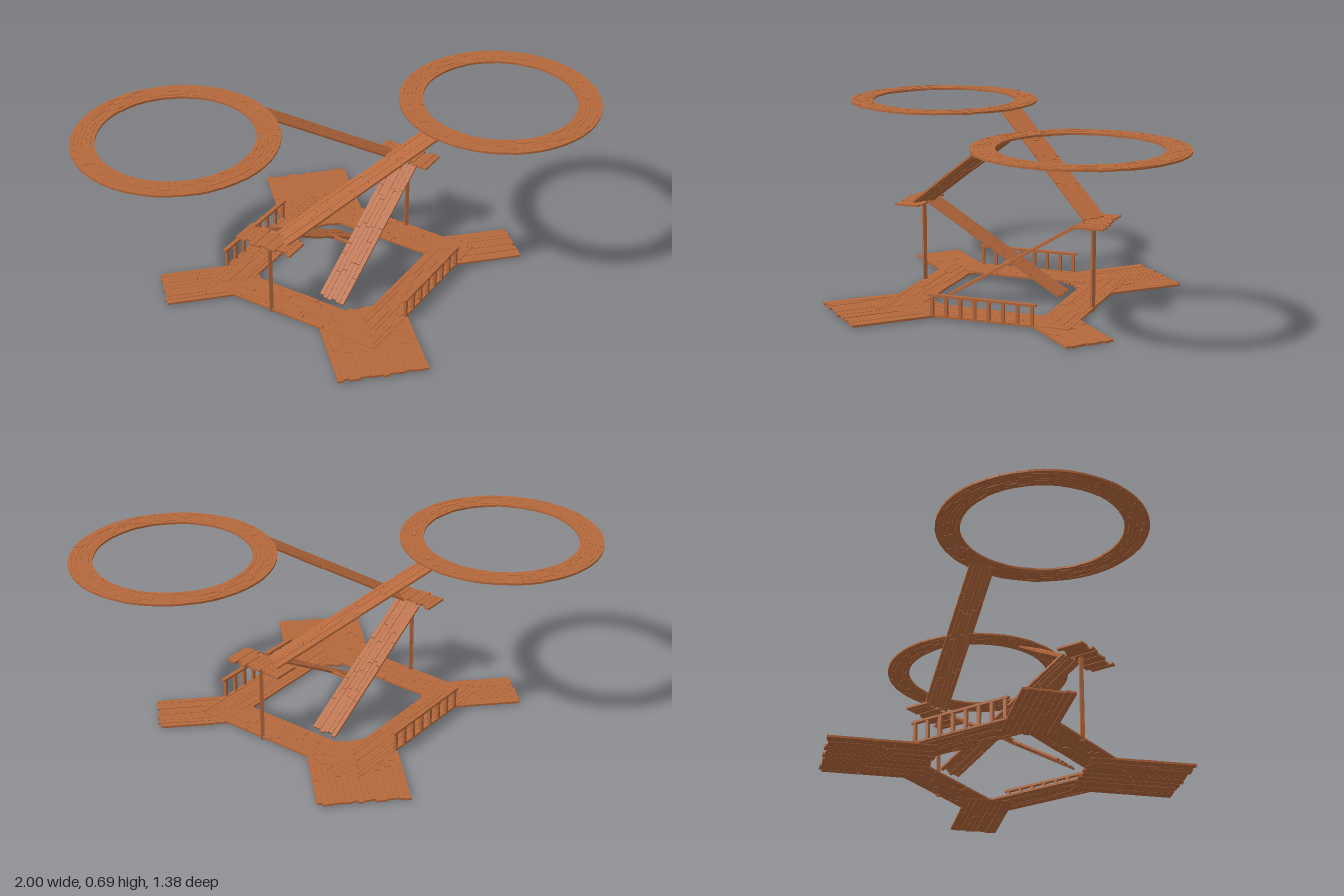
import * as THREE from 'three';
import { mergeGeometries } from 'three/addons/utils/BufferGeometryUtils.js';

const THICK = 0.008;
const wood = new THREE.MeshStandardMaterial({ color: 0xb5683c, flatShading: true });

// Small seeded generator for the uneven planks
let seed = 7;
function rand(a, b) {
  seed = (seed * 16807) % 2147483647;
  return a + (b - a) * (seed / 2147483647);
}

function box(w, h, d, x, y, z, turn = 0) {
  return new THREE.BoxGeometry(w, h, d).rotateY(turn).translate(x, y, z);
}

function mesh(name, boxes) {
  const m = new THREE.Mesh(mergeGeometries(boxes), wood);
  m.name = name;
  return m;
}

// One lane of boards laid end to end along z
function lane(x, z0, z1, width, boardLength) {
  const n = Math.max(1, Math.round((z1 - z0) / boardLength));
  const step = (z1 - z0) / n;
  const cuts = [z0];
  for (let i = 1; i < n; i++) cuts.push(z0 + step * (i + rand(-0.3, 0.3)));
  cuts.push(z1);
  return cuts.slice(1).map((end, i) => box(width * 0.95, THICK, end - cuts[i] - 0.002,
    x, rand(-0.001, 0.001), (end + cuts[i]) / 2));
}

// Plank walkway between two points, level across its width
function deck(name, from, to, width, lanes, jitter, boardLength = 0.17) {
  const a = new THREE.Vector3(...from), b = new THREE.Vector3(...to);
  const half = a.distanceTo(b) / 2, w = width / lanes, boxes = [];
  for (let i = 0; i < lanes; i++) {
    boxes.push(...lane(-width / 2 + (i + 0.5) * w,
      -half + rand(-jitter, jitter), half + rand(-jitter, jitter), w, boardLength));
  }
  const m = mesh(name, boxes);
  m.position.copy(a).add(b).multiplyScalar(0.5);
  m.lookAt(b);
  return m;
}

// Ring of concentric board lanes
function ringDeck(name, x, y, inner, outer, lanes) {
  const w = (outer - inner) / lanes, n = 48, boxes = [];
  for (let i = 0; i < lanes; i++) {
    const r = inner + (i + 0.5) * w, shift = rand(0, 1);
    for (let j = 0; j < n; j++) {
      const t = ((j + shift) / n) * Math.PI * 2;
      boxes.push(box(w * 0.96, THICK, (2 * Math.PI * r) / n, r * Math.cos(t),
        rand(-0.001, 0.001), -r * Math.sin(t), t));
    }
  }
  const m = mesh(name, boxes);
  m.position.set(x, y, 0);
  return m;
}

// Square walkway of nested boards, turned to a diamond
function diamondDeck(y) {
  const outer = 0.54 / Math.SQRT2, lanes = 8, w = 0.14 / lanes, boxes = [];
  for (let side = 0; side < 4; side++) {
    for (let i = 0; i < lanes; i++) {
      const h = outer - (i + 0.5) * w;
      for (const g of lane(h, -h - w / 2, h - w / 2, w, 0.18)) {
        boxes.push(g.rotateY(side * Math.PI / 2));
      }
    }
  }
  const m = mesh('groundWalkway', boxes);
  m.position.y = y;
  m.rotation.y = Math.PI / 4;
  return m;
}

// Handrail with balusters, running along local x
function railing() {
  const length = 0.42, n = 8;
  const boxes = [box(length, 0.009, 0.016, 0, 0.095, 0)];
  for (let i = 0; i < n; i++) {
    const x = (i / (n - 1) - 0.5) * (length - 0.03);
    boxes.push(box(0.012, 0.078, 0.012, x, 0.054, 0));
  }
  const m = mesh('railing', boxes);
  m.position.set(0.3, 0, 0.235);
  m.rotation.y = Math.PI / 4;
  return m;
}

export function createModel() {
  seed = 7;
  const model = new THREE.Group();
  model.name = 'plankWalkways';
  const ground = 0.016, mid = 0.345, top = 0.688;
  model.add(diamondDeck(ground));

  // Everything else repeats after a half turn
  for (let k = 0; k < 2; k++) {
    const half = new THREE.Group();
    half.name = k ? 'secondHalf' : 'firstHalf';
    half.rotation.y = k * Math.PI;

    // Ground arms, a touch lower where they pass under the diamond
    half.add(deck('wideArm', [0, ground - 0.002, 0.285], [0, ground - 0.002, 0.685], 0.34, 16, 0.006));
    half.add(deck('narrowArm', [0.33, ground - 0.002, 0], [0.705, ground - 0.002, 0], 0.19, 9, 0.006));

    // Lower ramp, landing and its post
    half.add(deck('lowerRamp', [-0.085, 0.012, 0.205], [0.3, mid, -0.18], 0.11, 6, 0.006));
    half.add(deck('landing', [0.285, mid, -0.195], [0.355, mid, -0.265], 0.24, 11, 0.012));
    const post = mesh('post', [box(0.014, mid - 0.01, 0.014, 0, (mid - 0.01) / 2 + 0.005, 0)]);
    post.position.set(0.32, 0, -0.21);
    half.add(post);

    // Upper ramp from the landing to the far ring
    half.add(deck('upperRamp', [0.275, mid + 0.003, -0.235], [-0.325, top, -0.16], 0.098, 6, 0.006));
    half.add(ringDeck('upperRing', 0.617, top, 0.293, 0.383, 6));

    half.add(railing());
    model.add(half);
  }

  // Brace joining the two lower ramps
  const brace = mesh('brace', [box(0.1, 0.01, 0.01, 0, 0.138, 0)]);
  brace.rotation.y = -Math.PI / 4;
  model.add(brace);
  return model;
}
